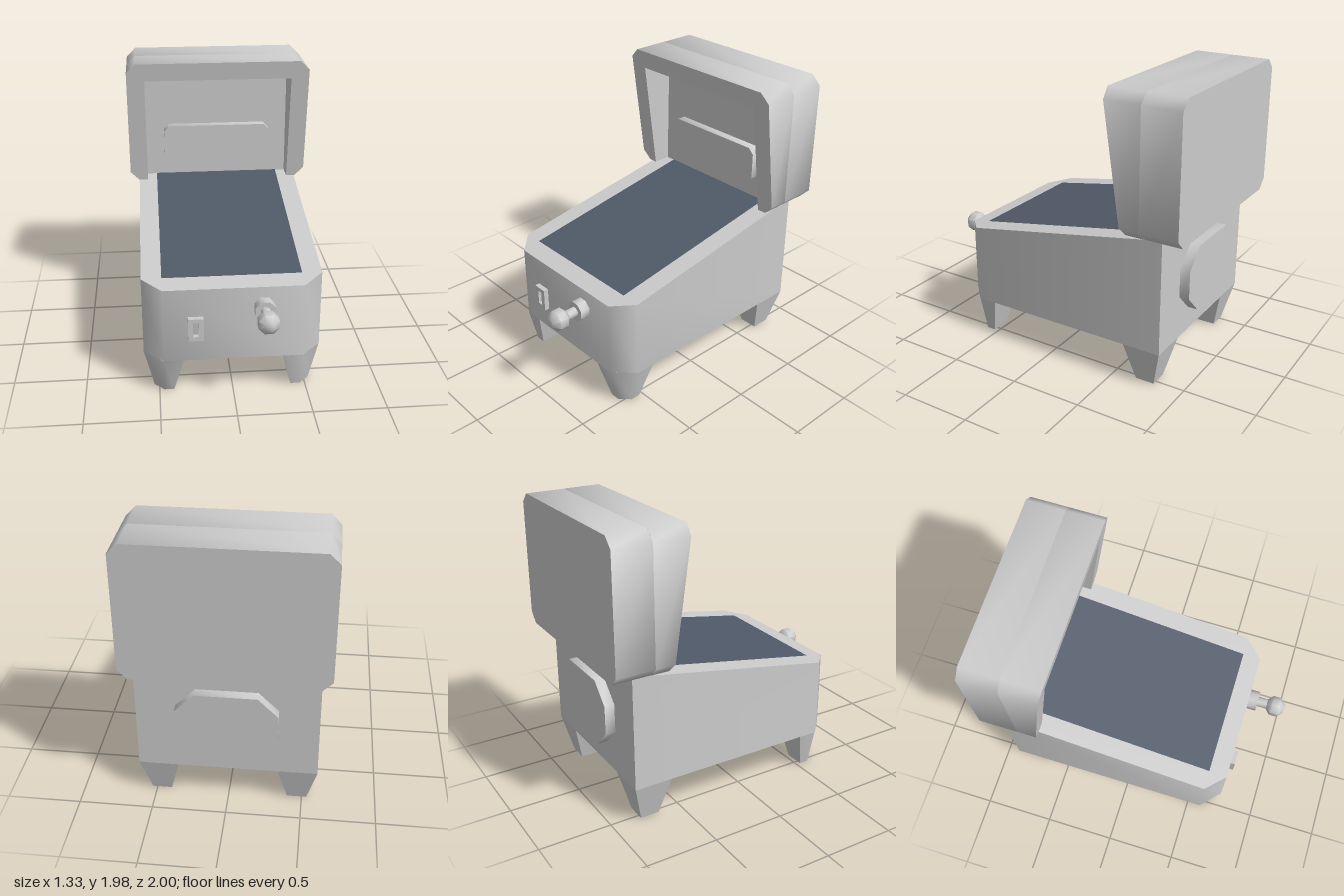
import * as THREE from 'three';
import { toCreasedNormals } from 'three/addons/utils/BufferGeometryUtils.js';

const grey = new THREE.MeshStandardMaterial({ color: 0xcccccc });
const dark = new THREE.MeshStandardMaterial({ color: 0x505a68 });
const CREASE = 0.9; // 45 degree bevels stay smooth, right angles stay sharp

function part(name, geometry, parent, material = grey) {
  const mesh = new THREE.Mesh(toCreasedNormals(geometry, CREASE), material);
  mesh.name = name;
  parent.add(mesh);
  return mesh;
}

const polygon = (points) => new THREE.Shape(points.map(([x, y]) => new THREE.Vector2(x, y)));

// Rectangle with four cut corners
function cutRect(x0, x1, y0, y1, c) {
  return polygon([[x0 + c, y0], [x1 - c, y0], [x1, y0 + c], [x1, y1 - c],
    [x1 - c, y1], [x0 + c, y1], [x0, y1 - c], [x0, y0 + c]]);
}

function extrude(shape, z0, z1) {
  return new THREE.ExtrudeGeometry(shape, { depth: z1 - z0, bevelEnabled: false }).translate(0, 0, z0);
}

// Extrude a floor plan (x, -z) upwards
const extrudeUp = (shape, y0, y1) => extrude(shape, y0, y1).rotateX(-Math.PI / 2);

// Move every vertex by a rule
function deform(geometry, rule) {
  const p = geometry.attributes.position;
  const v = new THREE.Vector3();
  for (let i = 0; i < p.count; i++) {
    rule(v.fromBufferAttribute(p, i));
    p.setXYZ(i, v.x, v.y, v.z);
  }
  return geometry;
}

const deckY = (z) => 0.8 + (0.73 - z) * 0.171;

function addCabinet(group) {
  // Body with bevelled front corners and a sloping deck
  const plan = polygon([[-0.465, -0.73], [0.465, -0.73], [0.6, -0.6], [0.6, 0.86], [-0.6, 0.86], [-0.6, -0.6]]);
  part('cabinet', deform(extrudeUp(plan, 0.27, 1), (v) => {
    if (v.y > 0.5) v.y = deckY(v.z);
  }), group);

  // Dark playing surface lying on the deck
  const surface = new THREE.PlaneGeometry(0.93, 1.33).rotateX(-Math.PI / 2).translate(0, 0, -0.065);
  part('playfield', deform(surface, (v) => { v.y = deckY(v.z) + 0.003; }), group, dark);

  // Octagonal plate on the rear
  part('rearPlate', extrude(cutRect(-0.335, 0.335, 0.44, 0.905, 0.133), -0.93, -0.86), group);
}

function addLegs(group) {
  const h = 0.133;
  for (const side of [-1, 1]) {
    for (const front of [true, false]) {
      // Front legs follow the bevelled corner of the cabinet
      let points = front
        ? [[-h, -h], [0, -h], [h, 0], [h, h], [-h, h]]
        : [[-h, -h], [h, -h], [h, h], [-h, h]];
      if (side < 0) points = points.map(([x, y]) => [-x, y]).reverse();
      const leg = deform(extrudeUp(polygon(points), 0, 0.27), (v) => {
        if (v.y < 0.1) { v.x *= 0.5; v.z *= 0.5; }
      });
      const name = (front ? 'front' : 'rear') + (side > 0 ? 'Left' : 'Right') + 'Leg';
      part(name, leg, group).position.set(side * 0.467, 0, front ? 0.597 : -0.727);
    }
  }
}

function addHood(group) {
  const hood = new THREE.Group();
  hood.name = 'hood';
  group.add(hood);

  part('hoodBack', extrude(cutRect(-0.665, 0.665, 1.05, 1.98, 0.067), -1, -0.73), hood);

  // Surround open at the bottom, its front leaning forward
  const surround = polygon([[0.535, 1.05], [0.6, 1.05], [0.665, 1.117], [0.665, 1.913], [0.6, 1.98],
    [-0.6, 1.98], [-0.665, 1.913], [-0.665, 1.117], [-0.6, 1.05], [-0.535, 1.05],
    [-0.535, 1.85], [0.535, 1.85]]);
  part('hoodSurround', deform(extrude(surround, -0.73, -0.5), (v) => {
    if (v.z > -0.6) v.z = -0.6 + (v.y - 1.05) * 0.144;
  }), hood);

  part('displayPanel', extrude(cutRect(-0.4, 0.4, 1.185, 1.45, 0.04), -0.73, -0.665), hood);
}

function addPlunger(group) {
  // Eight-sided turned parts along z: [radius to the flats, z]
  const profiles = {
    plungerBase: [[0, 0.73], [0.067, 0.73], [0.067, 0.8], [0, 0.8]],
    plungerRod: [[0, 0.79], [0.033, 0.79], [0.033, 0.88], [0, 0.88]],
    plungerKnob: [[0, 0.867], [0.03, 0.867], [0.067, 0.904], [0.067, 0.963], [0.03, 1], [0, 1]],
  };
  const plunger = new THREE.Group();
  plunger.name = 'plunger';
  plunger.position.set(0.2, 0.655, 0);
  group.add(plunger);
  for (const [name, profile] of Object.entries(profiles)) {
    const points = profile.map(([r, z]) => new THREE.Vector2(r / Math.cos(Math.PI / 8), z));
    part(name, new THREE.LatheGeometry(points, 8, Math.PI / 8).rotateX(Math.PI / 2), plunger);
  }
}

function addCoinSlot(group) {
  const plate = cutRect(-0.303, -0.2, 0.437, 0.6, 0);
  plate.holes.push(polygon([[-0.27, 0.467], [-0.27, 0.57], [-0.235, 0.57], [-0.235, 0.467]]));
  part('coinSlot', extrude(plate, 0.73, 0.765), group);
}

export function createModel() {
  const group = new THREE.Group();
  group.name = 'arcadeTable';
  addCabinet(group);
  addLegs(group);
  addHood(group);
  addPlunger(group);
  addCoinSlot(group);
  return group;
}
